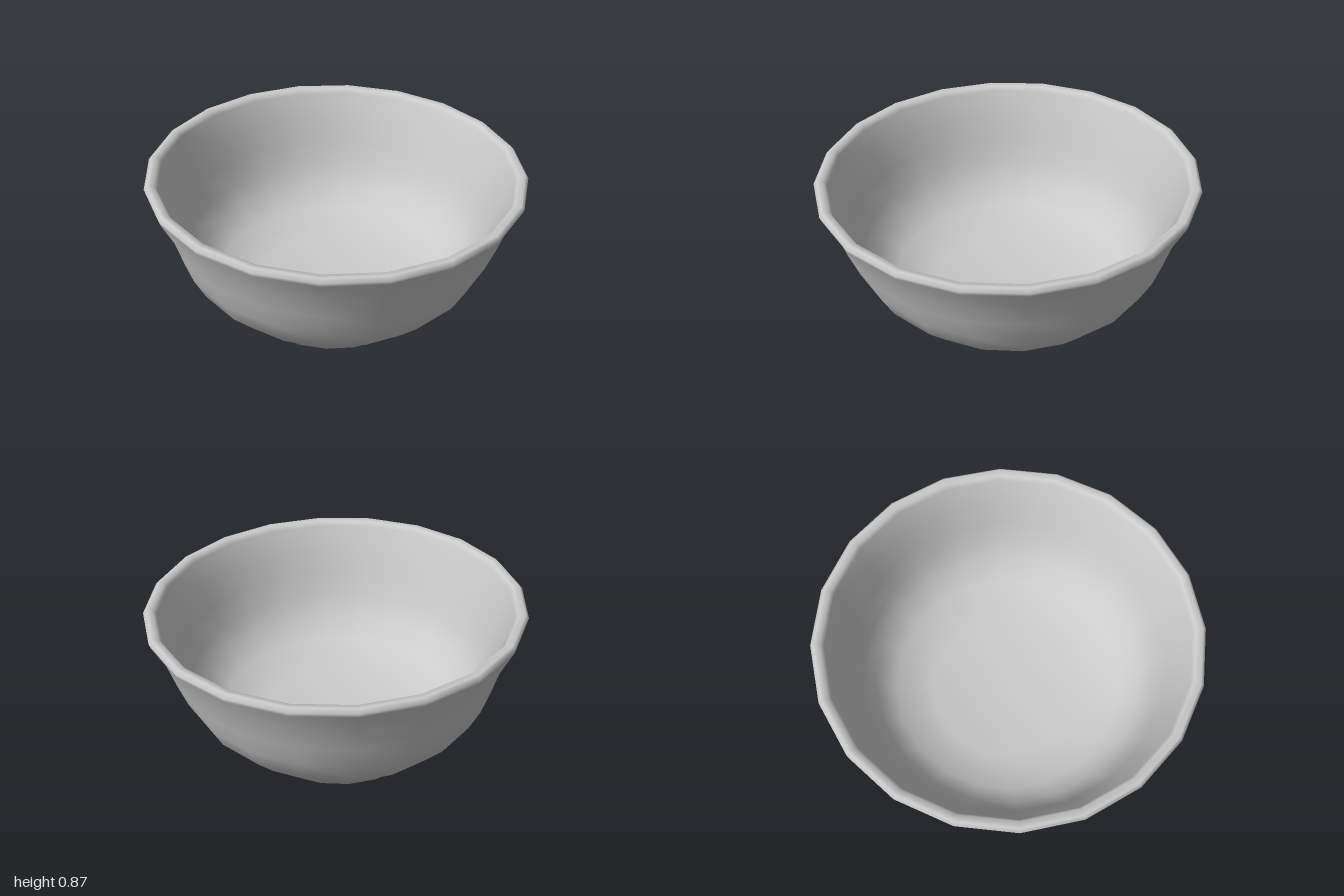
import * as THREE from 'three';
import { mergeVertices } from 'three/addons/utils/BufferGeometryUtils.js';

// Wall profile [radius, height]: base centre, foot, outer wall, rim, inner wall, inner floor
const PROFILE = [
  [0, 0], [0.477, 0], [0.467, 0.09],
  [0.665, 0.175], [0.78, 0.3], [0.84, 0.42], [0.885, 0.55], [0.925, 0.68],
  [0.99, 0.81], [0.997, 0.832], [0.98, 0.85], [0.945, 0.845], [0.93, 0.82],
  [0.875, 0.68], [0.835, 0.55], [0.79, 0.42], [0.73, 0.31], [0.625, 0.21],
  [0.42, 0.14], [0, 0.13],
];
const RIM_HEIGHT = 0.85;

export function createModel() {
  const group = new THREE.Group();
  group.name = 'bowlModel';

  let geometry = new THREE.LatheGeometry(PROFILE.map(([r, y]) => new THREE.Vector2(r, y)), 20);

  // Handmade lean: level at the foot, growing towards the rim
  const pos = geometry.attributes.position;
  for (let i = 0; i < pos.count; i++) {
    const x = pos.getX(i), y = pos.getY(i), z = pos.getZ(i);
    const t = y / RIM_HEIGHT;
    pos.setXYZ(
      i,
      x * (1 - 0.008 * t) - 0.021 * (1 - t),
      y - (0.018 * x + 0.012 * z) * t,
      z - 0.017 * (1 - t),
    );
  }

  // Weld the seam so the whole surface shades smoothly
  geometry.deleteAttribute('uv');
  geometry.deleteAttribute('normal');
  geometry = mergeVertices(geometry, 1e-4);
  geometry.computeVertexNormals();

  const bowl = new THREE.Mesh(geometry, new THREE.MeshStandardMaterial({ color: 0xcccccc }));
  bowl.name = 'bowl';
  group.add(bowl);
  return group;
}
